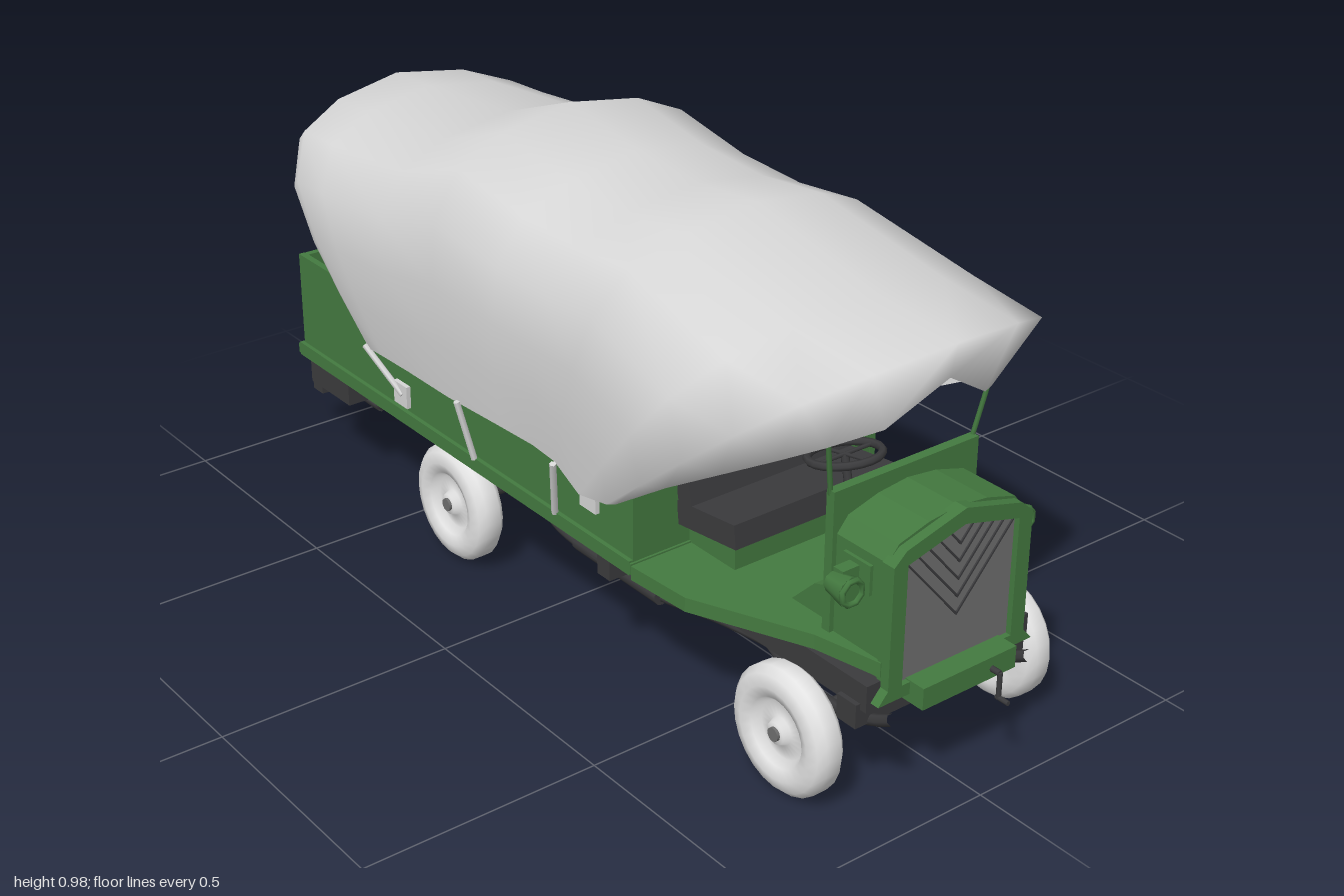
import * as THREE from 'three';

const mat = (name, color, side = THREE.FrontSide) => {
  const m = new THREE.MeshStandardMaterial({ color, side });
  m.name = name;
  return m;
};
const V = (a) => new THREE.Vector3(...a);

export function createModel() {
  const root = new THREE.Group();
  root.name = 'coveredTruck';
  const green = mat('green paint', 0x447a40);
  const dark = mat('dark iron', 0x3b3b3d);
  const grey = mat('radiator grey', 0x6f6f6f);
  const white = mat('tyre white', 0xe4e4e4);
  const canvas = mat('canvas', 0xd6d6d6, THREE.DoubleSide);

  const add = (name, geo, m, pos = [0, 0, 0]) => {
    const mesh = new THREE.Mesh(geo, m);
    mesh.name = name;
    mesh.position.set(...pos);
    root.add(mesh);
    return mesh;
  };
  const box = (name, m, size, pos) => add(name, new THREE.BoxGeometry(...size), m, pos);
  const rod = (name, m, a, b, r, sides = 8) => {
    const A = V(a), B = V(b), d = B.clone().sub(A);
    const mesh = add(name, new THREE.CylinderGeometry(r, r, d.length(), sides), m, A.add(B).multiplyScalar(0.5).toArray());
    mesh.quaternion.setFromUnitVectors(V([0, 1, 0]), d.normalize());
    return mesh;
  };
  const poly = (pts) => new THREE.Shape(pts.map((p) => new THREE.Vector2(...p)));
  const mirrored = (half) => [...half, ...half.filter((p) => p[0] > 0).reverse().map(([x, ...r]) => [-x, ...r])];
  const extrude = (shape, depth) => new THREE.ExtrudeGeometry(shape, { depth, bevelEnabled: false });

  // Canvas cover: arches lofted from the front rim to the back rim
  const arch = [[0, 1], [0.47, 0.95], [0.78, 0.86], [0.96, 0.68], [1, 0.45], [0.99, 0.22], [0.955, 0]];
  const frontRim = [[0, 0.79, 0.86], [0.12, 0.715, 0.83], [0.2, 0.68, 0.77], [0.26, 0.655, 0.72],
    [0.31, 0.6, 0.62], [0.335, 0.53, 0.5], [0.335, 0.43, 0.35]];
  // crown z, hem z, crown height, hem height, half width
  const stations = [
    [0.875, 0.34, 0.862, 0.43, 0.365], [0.67, 0.27, 0.88, 0.425, 0.378], [0.34, 0.16, 0.947, 0.44, 0.353],
    [0.165, 0.08, 0.93, 0.44, 0.347], [-0.02, -0.03, 0.94, 0.435, 0.347], [-0.24, -0.2, 0.977, 0.435, 0.358],
    [-0.465, -0.36, 0.893, 0.43, 0.353], [-0.77, -0.46, 0.865, 0.425, 0.35], [-0.9, -0.52, 0.86, 0.42, 0.347],
    [-0.94, -0.535, 0.825, 0.42, 0.338]];
  const rings = [frontRim, ...stations.map(([zt, zb, top, hem, w]) =>
    arch.map(([u, v]) => [u * w, hem + v * (top - hem), zt + (1 - v) * (zb - zt)]))];
  const pos = [], idx = [];
  rings.forEach((half, i) => {
    const row = [...half.slice(1).reverse(), ...half.map(([x, y, z]) => [-x, y, z])];
    row.forEach((p, j) => {
      pos.push(...p);
      if (i < rings.length - 1 && j < row.length - 1) {
        const a = i * row.length + j, b = a + row.length;
        idx.push(a, b, a + 1, b, b + 1, a + 1);
      }
    });
  });
  const coverGeo = new THREE.BufferGeometry();
  coverGeo.setAttribute('position', new THREE.Float32BufferAttribute(pos, 3));
  coverGeo.setIndex(idx);
  coverGeo.computeVertexNormals();
  add('canvasCover', coverGeo, canvas);

  // Cargo bed: floor, walls, rim rails and tailgate
  box('bedFloor', green, [0.63, 0.022, 1.225], [0, 0.292, -0.243]);
  box('bedFrontWall', green, [0.61, 0.22, 0.015], [0, 0.41, 0.357]);
  box('tailgate', green, [0.61, 0.22, 0.015], [0, 0.41, -0.836]);

  // Cab floor narrowing toward the hood
  const cabFloor = extrude(poly(mirrored([[0.315, 0.37], [0.305, 0.52], [0.2, 0.76], [0.17, 0.9]])), 0.03);
  cabFloor.rotateX(Math.PI / 2);
  add('cabFloor', cabFloor, green, [0, 0.3, 0]);

  // Hood, dash and toe board
  const hoodLine = mirrored([[0.165, 0.235], [0.165, 0.5], [0.14, 0.53], [0.07, 0.55], [0, 0.558]]);
  add('hood', extrude(poly(hoodLine), 0.14), green, [0, 0, 0.76]);
  box('dash', green, [0.35, 0.32, 0.02], [0, 0.425, 0.76]);
  const toe = extrude(poly([[0.76, 0.3], [0.76, 0.38], [0.7, 0.36], [0.64, 0.3]]), 0.3);
  toe.rotateY(-Math.PI / 2);
  add('toeBoard', toe, green, [0.15, 0, 0]);

  // Radiator shell, core and chevron bars
  const shell = poly(mirrored([[0.19, 0.225], [0.168, 0.25], [0.168, 0.5], [0.14, 0.525], [0, 0.562]]));
  shell.holes.push(poly(mirrored([[0.135, 0.25], [0.135, 0.495], [0, 0.53]])));
  add('radiatorShell', extrude(shell, 0.03), green, [0, 0, 0.89]);
  add('radiatorCore', extrude(poly(mirrored([[0.14, 0.245], [0.14, 0.5], [0, 0.535]])), 0.008), grey, [0, 0, 0.9]);
  for (let i = 0; i < 5; i++) {
    const tip = 0.34 + i * 0.036, reach = Math.min(0.13, (0.52 - tip) / 1.2);
    const top = tip + reach * 1.15;
    add('radiatorChevron', extrude(poly(mirrored([[0, tip], [reach, top], [reach, top + 0.005], [0, tip + 0.006]])
      .filter((p, k, all) => k < 4 || p[0] !== 0)), 0.003), dark, [0, 0, 0.908]);
  }
  box('frontSkirt', green, [0.32, 0.045, 0.1], [0, 0.235, 0.85]);
  box('frontTank', green, [0.23, 0.045, 0.055], [0, 0.23, 0.927]);
  rod('crankShaft', dark, [0.055, 0.228, 0.94], [0.055, 0.228, 0.975], 0.006);
  rod('crankArm', dark, [0.055, 0.23, 0.975], [0.055, 0.175, 0.975], 0.005);
  rod('crankHandle', dark, [0.055, 0.177, 0.97], [0.055, 0.177, 1], 0.005);

  // Steering wheel, column and seat
  const wheelTilt = 0.2;
  const steer = add('steeringWheel', new THREE.TorusGeometry(0.068, 0.008, 6, 20), dark, [-0.08, 0.597, 0.69]);
  steer.rotation.x = Math.PI / 2 - wheelTilt;
  for (let i = 0; i < 4; i++) {
    const a = i * Math.PI / 2, c = Math.cos(a) * 0.066, s = Math.sin(a) * 0.066;
    rod('steeringSpoke', dark, [-0.08, 0.597, 0.69], [-0.08 + c, 0.597 + s * 0.2, 0.69 + s], 0.004, 6);
  }
  rod('steeringColumn', dark, [-0.08, 0.597, 0.69], [-0.08, 0.32, 0.755], 0.008);
  box('seatBase', green, [0.34, 0.07, 0.14], [0, 0.325, 0.43]);
  const cushion = box('seatCushion', dark, [0.4, 0.05, 0.17], [0, 0.385, 0.45]);
  cushion.rotation.x = -0.12;
  const back = box('seatBack', dark, [0.4, 0.1, 0.04], [0, 0.415, 0.385]);
  back.rotation.x = -0.2;

  // Wheel profile, revolved around the axle
  const rim = [[0, 0.03], [0.022, 0.03], [0.028, 0.016], [0.058, 0.012], [0.07, 0.028], [0.092, 0.036], [0.115, 0.03], [0.128, 0.016]];
  const wheelPts = [...rim.map(([r, w]) => [r, -w]), ...rim.slice().reverse()].map((p) => new THREE.Vector2(...p));
  const wheelGeo = new THREE.LatheGeometry(wheelPts, 24);
  wheelGeo.rotateZ(Math.PI / 2);

  for (const s of [-1, 1]) {
    // Bed sides, benches and tailgate straps
    box('bedSide', green, [0.015, 0.22, 1.21], [s * 0.298, 0.41, -0.24]);
    box('bedSill', green, [0.012, 0.03, 1.215], [s * 0.309, 0.292, -0.243]);
    box('bench', green, [0.11, 0.11, 1.15], [s * 0.235, 0.36, -0.24]);
    box('tailgateStrap', green, [0.015, 0.22, 0.01], [s * 0.11, 0.41, -0.847]);

    // Headlamps and cover struts
    const lamp = add('headlamp', new THREE.CylinderGeometry(0.03, 0.02, 0.05, 8), green, [s * 0.21, 0.44, 0.835]);
    lamp.rotation.x = Math.PI / 2;
    const ring = add('headlampRing', new THREE.TorusGeometry(0.024, 0.006, 6, 8), green, [s * 0.21, 0.44, 0.862]);
    ring.rotation.z = Math.PI / 8;
    box('headlampBracket', green, [0.05, 0.03, 0.025], [s * 0.185, 0.455, 0.825]);
    box('hoodVent', green, [0.008, 0.06, 0.07], [s * 0.168, 0.45, 0.83]);
    rod('coverStrut', green, [s * 0.17, 0.57, 0.755], [s * 0.195, 0.7, 0.77], 0.005, 6);

    // Straps and buckle patches holding the canvas
    rod('coverStrap', canvas, [s * 0.345, 0.44, 0.165], [s * 0.314, 0.305, 0.125], 0.007, 6);
    rod('coverStrap', canvas, [s * 0.345, 0.44, -0.165], [s * 0.314, 0.305, -0.155], 0.007, 6);
    rod('coverStrap', canvas, [s * 0.335, 0.425, -0.53], [s * 0.315, 0.345, -0.42], 0.007, 6);
    rod('coverStrap', canvas, [s * 0.338, 0.455, 0.34], [s * 0.32, 0.4, 0.25], 0.007, 6);
    box('strapPatch', canvas, [0.01, 0.05, 0.05], [s * 0.313, 0.345, -0.425]);
    box('strapPatch', canvas, [0.01, 0.05, 0.05], [s * 0.325, 0.4, 0.255]);

    // Wheels and chassis rails
    for (const z of [0.765, -0.295]) {
      add('wheel', wheelGeo, white, [s * 0.262, 0.13, z]);
      const hub = add('hubCap', new THREE.CylinderGeometry(0.014, 0.014, 0.01, 12), grey, [s * 0.293, 0.13, z]);
      hub.rotation.z = Math.PI / 2;
      const spring = new THREE.QuadraticBezierCurve3(V([s * 0.17, 0.2, z + 0.17]), V([s * 0.17, 0.1, z]), V([s * 0.17, 0.2, z - 0.17]));
      add('leafSpring', new THREE.TubeGeometry(spring, 10, 0.012, 6), dark);
    }
    box('chassisRail', dark, [0.04, 0.055, 1.7], [s * 0.18, 0.235, 0.05]);
    box('sideRail', dark, [0.03, 0.05, 0.95], [s * 0.25, 0.257, -0.05]);

    // Side pipes
    const path = [[0.13, 0.17, 0.68], [0.16, 0.165, 0.45], [0.2, 0.165, 0.3], [0.2, 0.165, 0], [0.15, 0.15, -0.15]];
    add('sidePipe', new THREE.TubeGeometry(new THREE.CatmullRomCurve3(path.map(([x, y, z]) => V([s * x, y, z]))), 24, 0.011, 8), dark);
    rod('muffler', dark, [s * 0.2, 0.168, 0.32], [s * 0.2, 0.168, 0.05], 0.02, 10);

    // Rear step arms
    rod('stepArm', dark, [s * 0.15, 0.22, -0.62], [s * 0.15, 0.115, -0.8], 0.01, 6);
    rod('stepArm', dark, [s * 0.15, 0.115, -0.79], [s * 0.15, 0.115, -0.98], 0.01, 6);
    rod('stepRiser', dark, [s * 0.15, 0.115, -0.86], [s * 0.15, 0.19, -0.9], 0.008, 6);
  }

  // Rear beam and step bars
  box('rearBeam', dark, [0.59, 0.06, 0.16], [0, 0.238, -0.762]);
  box('lowerStep', dark, [0.41, 0.02, 0.04], [0, 0.11, -0.98]);
  box('upperStep', dark, [0.41, 0.012, 0.05], [0, 0.192, -0.885]);
  box('innerStep', dark, [0.36, 0.015, 0.04], [0, 0.145, -0.85]);

  // Axles, drive train and cross members
  box('frontBeam', dark, [0.42, 0.05, 0.05], [0, 0.195, 0.86]);
  box('midBeam', dark, [0.58, 0.05, 0.04], [0, 0.235, 0.25]);
  rod('frontAxle', dark, [-0.25, 0.135, 0.765], [0.25, 0.135, 0.765], 0.014);
  rod('tieRod', dark, [-0.23, 0.103, 0.72], [0.23, 0.103, 0.72], 0.006);
  rod('rearAxle', dark, [-0.25, 0.13, -0.295], [0.25, 0.13, -0.295], 0.018);
  rod('driveShaft', dark, [0, 0.15, 0.72], [0, 0.135, -0.295], 0.014);
  const pan = add('enginePan', new THREE.SphereGeometry(0.07, 12, 8), dark, [0, 0.145, 0.74]);
  pan.scale.set(1, 0.9, 1.1);
  box('engineBlock', dark, [0.13, 0.1, 0.2], [0, 0.2, 0.73]);
  add('differential', new THREE.SphereGeometry(0.058, 12, 8), dark, [0, 0.135, -0.295]);

  return root;
}
